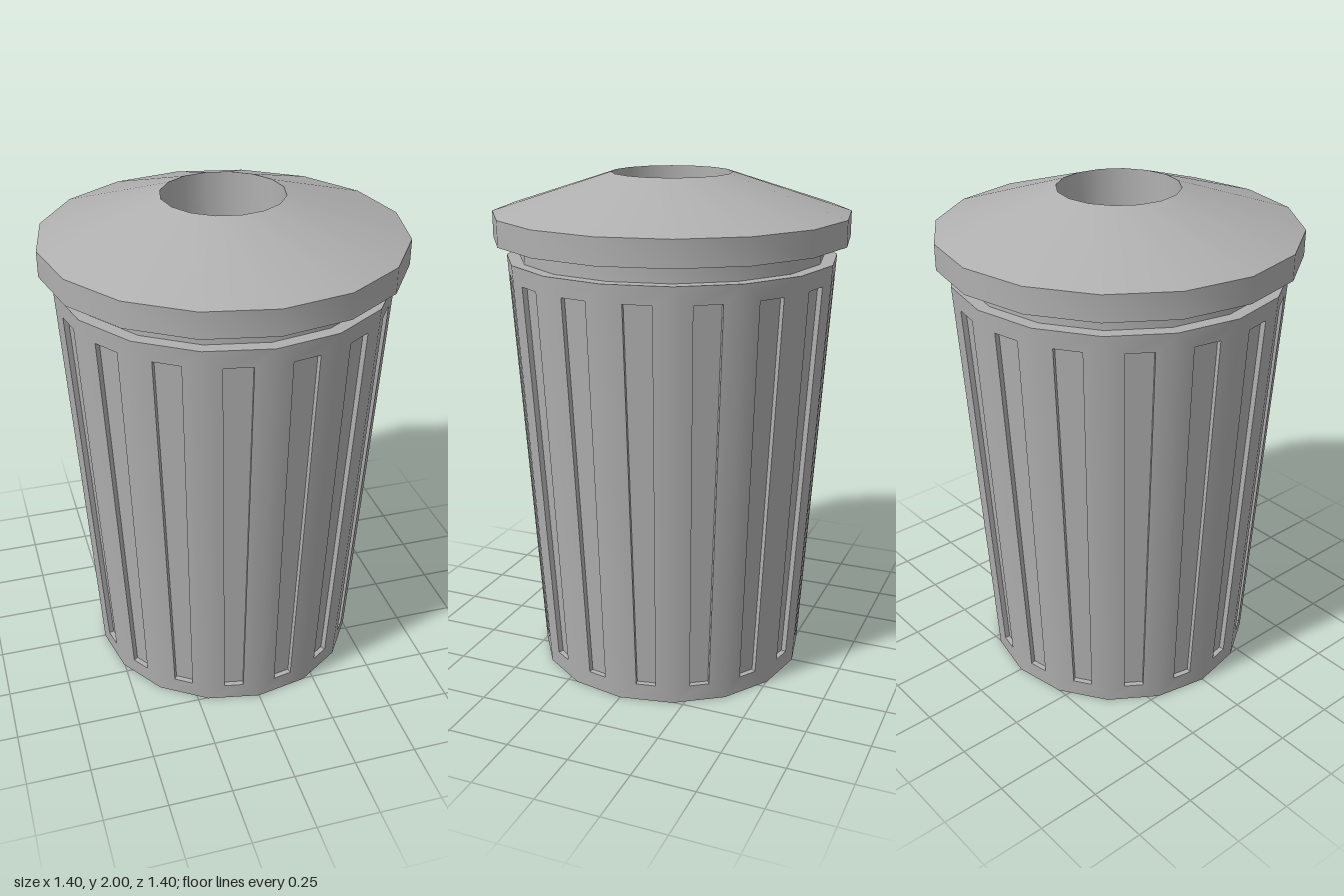
import * as THREE from 'three';
import { toCreasedNormals } from 'three/addons/utils/BufferGeometryUtils.js';

const SIDES = 16;
const HEIGHT = 1.68, BASE_R = 0.545, RIM_R = 0.65, DEPTH = 0.02;

// Sixteen-sided turned part, smooth around and sharp at the profile corners
function turned(name, profile, material) {
  const points = profile.map(([r, y]) => new THREE.Vector2(r, y));
  const geometry = toCreasedNormals(new THREE.LatheGeometry(points, SIDES), Math.PI / 6);
  const mesh = new THREE.Mesh(geometry, material);
  mesh.name = name;
  return mesh;
}

// Tapered wall with one recessed slot in every side
function slottedWall() {
  const positions = [];
  const quad = (a, b, c, d) => {
    for (const p of [a, b, c, a, c, d]) positions.push(p.x, p.y, p.z);
  };
  const corner = (i, r, y) => {
    const angle = ((i % SIDES) / SIDES) * Math.PI * 2;
    return new THREE.Vector3(r * Math.sin(angle), y, r * Math.cos(angle));
  };
  for (let i = 0; i < SIDES; i++) {
    const outer = [
      corner(i, BASE_R, 0), corner(i + 1, BASE_R, 0),
      corner(i + 1, RIM_R, HEIGHT), corner(i, RIM_R, HEIGHT),
    ];
    const onFace = (u, y) => {
      const v = y / HEIGHT;
      return outer[0].clone().lerp(outer[1], u)
        .lerp(outer[3].clone().lerp(outer[2], u), v);
    };
    const edge = [onFace(0.32, 0.07), onFace(0.68, 0.07), onFace(0.713, 1.61), onFace(0.287, 1.61)];
    const inward = new THREE.Vector3()
      .crossVectors(outer[1].clone().sub(outer[0]), outer[3].clone().sub(outer[0]))
      .normalize().multiplyScalar(-DEPTH);
    const floor = edge.map((p) => p.clone().add(inward));
    for (let k = 0; k < 4; k++) {
      const n = (k + 1) % 4;
      quad(outer[k], outer[n], edge[n], edge[k]); // frame
      quad(edge[k], edge[n], floor[n], floor[k]); // slot side
    }
    quad(...floor);
  }
  const geometry = new THREE.BufferGeometry();
  geometry.setAttribute('position', new THREE.Float32BufferAttribute(positions, 3));
  return toCreasedNormals(geometry, Math.PI / 6);
}

export function createModel() {
  const metal = new THREE.MeshStandardMaterial({ color: 0xb0b0b0 });
  metal.name = 'grey metal';

  const bin = new THREE.Group();
  bin.name = 'trashBin';

  // Container
  const wall = new THREE.Mesh(slottedWall(), metal);
  wall.name = 'slottedWall';
  bin.add(wall);
  bin.add(turned('base', [[0, 0], [BASE_R, 0]], metal));
  bin.add(turned('rim', [[RIM_R, HEIGHT], [0.59, HEIGHT]], metal));

  // Lid with its neck and overhanging edge
  bin.add(turned('neck', [[0.6, HEIGHT], [0.6, 1.75]], metal));
  bin.add(turned('lid', [[0.6, 1.75], [0.7, 1.75], [0.7, 1.85], [0.235, 2]], metal));

  // Deep tapered opening
  bin.add(turned('opening', [[0.235, 2], [0.195, 0.1], [0, 0.1]], metal));

  return bin;
}
